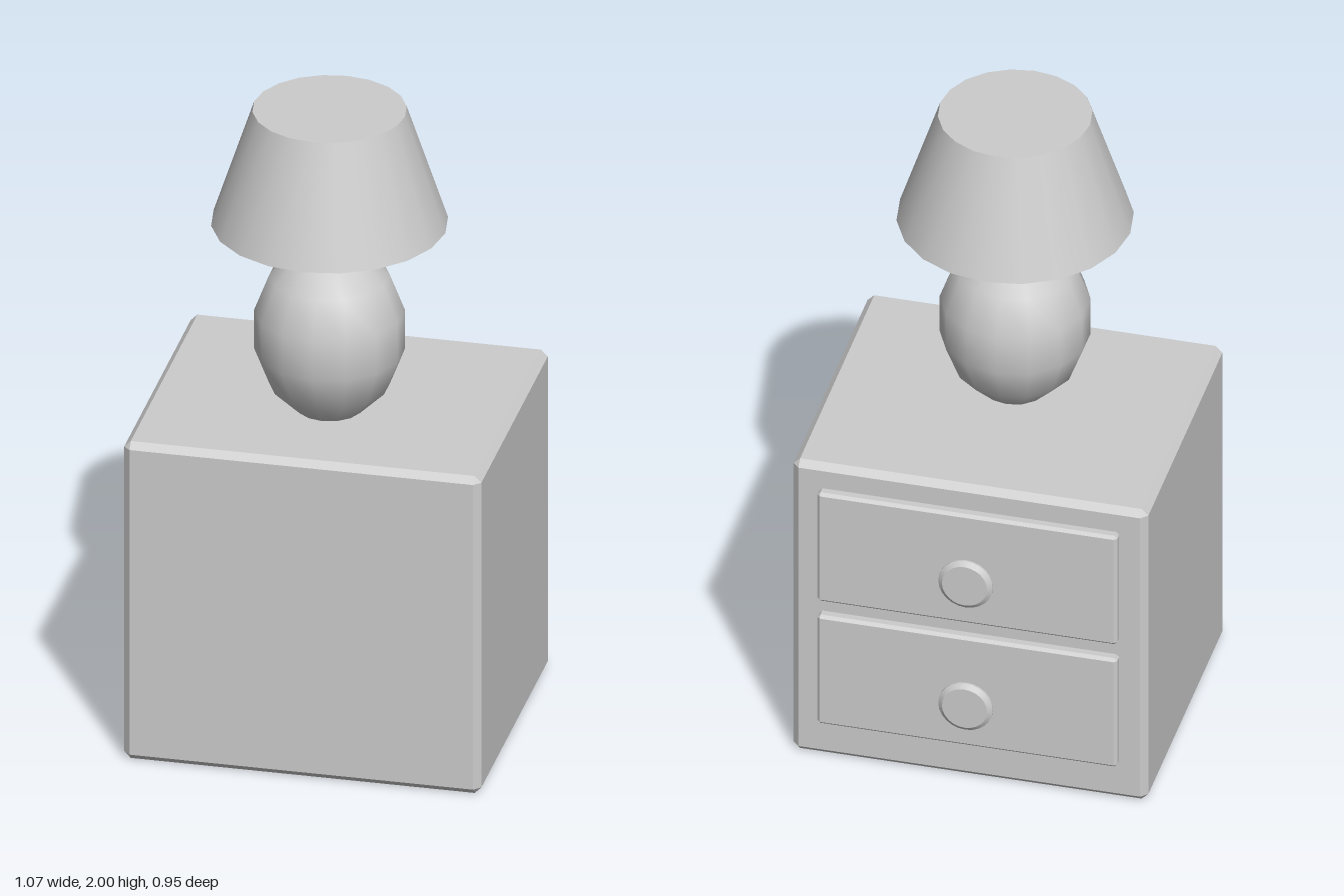
import * as THREE from 'three';
import { ConvexGeometry } from 'three/addons/geometries/ConvexGeometry.js';

// Box with a flat chamfer of width c on every edge
function chamferedBox(w, h, d, c) {
  const points = [];
  for (const sx of [-1, 1]) for (const sy of [-1, 1]) for (const sz of [-1, 1]) {
    const x = w / 2, y = h / 2, z = d / 2;
    points.push(
      new THREE.Vector3(sx * x, sy * (y - c), sz * (z - c)),
      new THREE.Vector3(sx * (x - c), sy * y, sz * (z - c)),
      new THREE.Vector3(sx * (x - c), sy * (y - c), sz * z));
  }
  return new ConvexGeometry(points);
}

export function createModel() {
  const group = new THREE.Group();
  const grey = new THREE.MeshStandardMaterial({ color: 0xcccccc });
  grey.name = 'plainGrey';

  const add = (parent, name, geometry, x, y, z) => {
    const mesh = new THREE.Mesh(geometry, grey);
    mesh.name = name;
    mesh.position.set(x, y, z);
    parent.add(mesh);
    return mesh;
  };

  // Cabinet
  add(group, 'cabinet', chamferedBox(1.07, 1.03, 0.9, 0.02), 0, 0.515, 0.025);

  // Two drawers with round bevelled knobs, on the -z side
  const drawerGeometry = chamferedBox(0.904, 0.385, 0.04, 0.009);
  const knobGeometry = new THREE.LatheGeometry([
    [0, 0], [0.068, 0], [0.068, 0], [0.082, 0.009], [0.082, 0.009],
    [0.082, 0.015], [0.082, 0.015], [0.068, 0.026], [0.068, 0.026], [0, 0.026],
  ].map(([r, y]) => new THREE.Vector2(r, y)), 24);
  knobGeometry.rotateX(-Math.PI / 2);
  [['lower', 0.322, 0.28], ['upper', 0.757, 0.715]].forEach(([level, drawerY, knobY]) => {
    add(group, level + 'Drawer', drawerGeometry, 0, drawerY, -0.435);
    add(group, level + 'Knob', knobGeometry, 0, knobY, -0.454);
  });

  // Table lamp: egg-shaped base, neck and closed tapered shade
  const lamp = new THREE.Group();
  lamp.name = 'lamp';
  lamp.position.z = 0.108;
  group.add(lamp);

  const base = new THREE.SphereGeometry(1, 14, 7);
  base.rotateY(Math.PI / 2);
  base.scale(0.226, 0.28, 0.226);
  add(lamp, 'lampBase', base, 0, 1.285, 0);
  add(lamp, 'lampNeck', new THREE.CylinderGeometry(0.06, 0.06, 0.12, 20), 0, 1.59, 0);
  add(lamp, 'lampShade', new THREE.CylinderGeometry(0.226, 0.347, 0.365, 20), 0, 1.8175, 0);

  return group;
}
